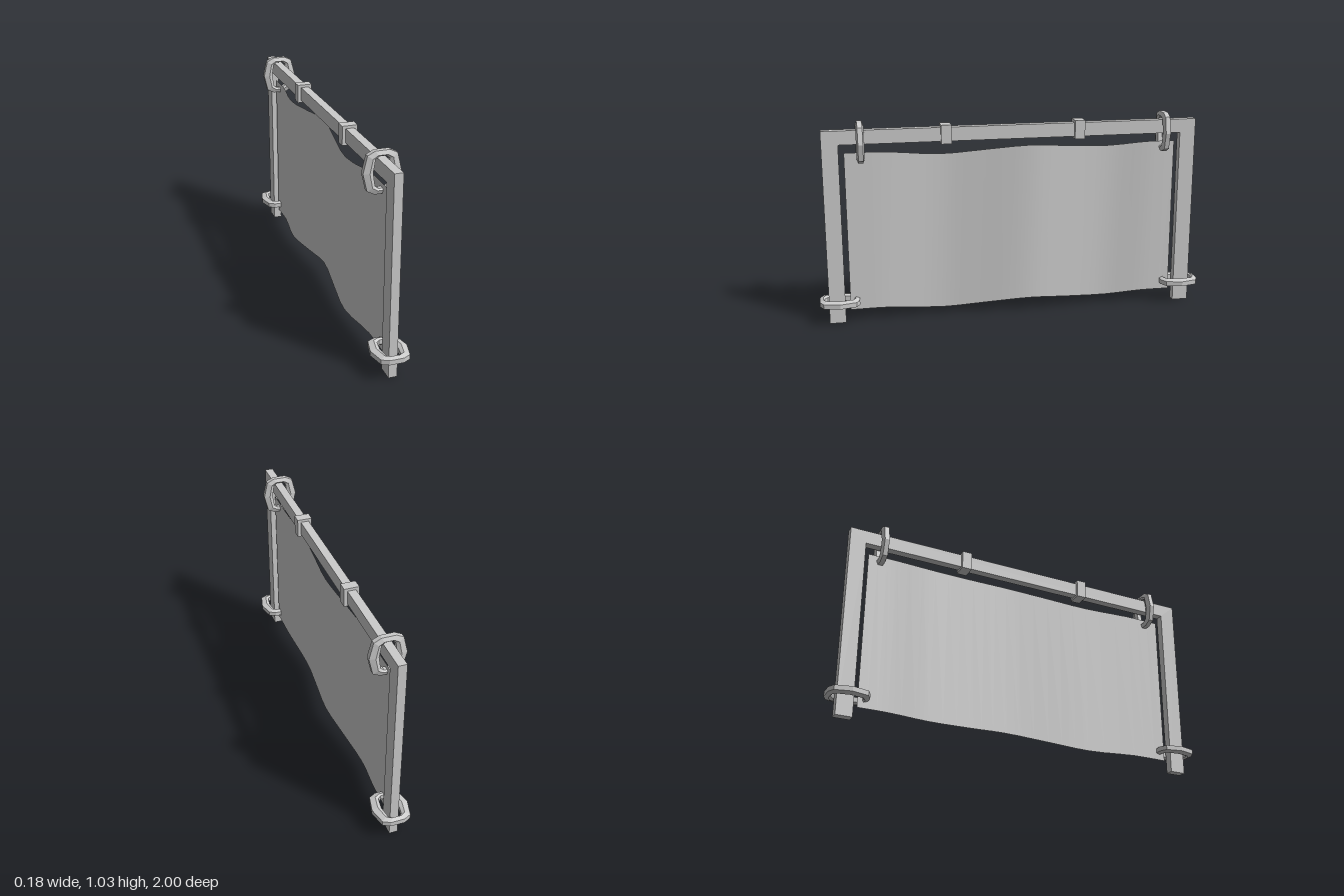
import * as THREE from 'three';

const grey = new THREE.MeshStandardMaterial({ color: 0xcccccc, flatShading: true });
const clothMaterial = new THREE.MeshStandardMaterial({ color: 0xcccccc, side: THREE.DoubleSide });

function box(name, w, h, d, x, y, z) {
  const mesh = new THREE.Mesh(new THREE.BoxGeometry(w, h, d), grey);
  mesh.name = name;
  mesh.position.set(x, y, z);
  return mesh;
}

// Ten-sided oval link lying in the XY plane, with a chamfered six-sided section
function linkGeometry() {
  const outline = [[1, 0], [0.78, 0.82], [0.38, 1], [-0.38, 1], [-0.78, 0.82],
    [-1, 0], [-0.78, -0.82], [-0.38, -1], [0.38, -1], [0.78, -0.82]];
  // Each section corner: half width, half height, depth
  const section = [[0.089, 0.1, -0.012], [0.089, 0.1, 0.012], [0.06, 0.081, 0.02],
    [0.042, 0.074, 0.012], [0.042, 0.074, -0.012], [0.06, 0.081, -0.02]];
  const positions = [], index = [];
  const n = outline.length, m = section.length;
  for (const [u, v] of outline) {
    for (const [w, h, d] of section) positions.push(u * w, v * h, d);
  }
  for (let i = 0; i < n; i++) {
    for (let j = 0; j < m; j++) {
      const a = i * m + j, b = ((i + 1) % n) * m + j;
      const c = ((i + 1) % n) * m + (j + 1) % m, d = i * m + (j + 1) % m;
      index.push(a, b, c, a, c, d);
    }
  }
  const geometry = new THREE.BufferGeometry();
  geometry.setAttribute('position', new THREE.Float32BufferAttribute(positions, 3));
  geometry.setIndex(index);
  geometry.computeVertexNormals();
  return geometry;
}

// Hanging sheet: a plane whose columns follow a gentle wave
function clothGeometry() {
  // Wave knots: sideways offset, lift, z
  const wave = new THREE.CatmullRomCurve3([
    [0, 0, 0.847], [0, 0, 0.66], [-0.02, -0.025, 0.37], [0.002, -0.008, 0.15],
    [0.026, 0.01, -0.08], [0.005, -0.004, -0.28], [-0.017, -0.016, -0.5],
    [0, 0, -0.7], [0, 0, -0.85],
  ].map(p => new THREE.Vector3(...p)));
  const columns = 24;
  const geometry = new THREE.PlaneGeometry(1, 0.815, columns, 1);
  const position = geometry.attributes.position;
  for (let i = 0; i < position.count; i++) {
    const p = wave.getPoint(position.getX(i) + 0.5);
    position.setXYZ(i, p.x, position.getY(i) + 0.4675 + p.y, p.z);
  }
  geometry.computeVertexNormals();
  return geometry;
}

export function createModel() {
  const model = new THREE.Group();
  model.name = 'bannerFrame';

  // Frame: one flush outline of two posts and a top bar
  const frameShape = new THREE.Shape([
    [-0.955, 0], [-0.873, 0], [-0.873, 0.92], [0.873, 0.92],
    [0.873, 0], [0.955, 0], [0.955, 0.99], [-0.955, 0.99],
  ].map(p => new THREE.Vector2(...p)));
  const frameGeometry = new THREE.ExtrudeGeometry(frameShape, { depth: 0.042, bevelEnabled: false });
  frameGeometry.translate(0, 0, -0.021).rotateY(Math.PI / 2);
  const frame = new THREE.Mesh(frameGeometry, grey);
  frame.name = 'frame';
  model.add(frame);

  // Collars on the top bar
  for (const z of [0.345, -0.335]) {
    model.add(box('barCollar', 0.075, 0.095, 0.052, 0, 0.956, z));
  }

  // Hanging links on the bar, and flat links around the post feet
  const link = linkGeometry();
  for (const z of [0.767, -0.787]) {
    const ring = new THREE.Mesh(link, grey);
    ring.name = 'hangingLink';
    ring.position.set(-0.002, 0.928, z);
    model.add(ring);
  }
  for (const z of [0.9, -0.9]) {
    const ring = new THREE.Mesh(link, grey);
    ring.name = 'footLink';
    ring.position.set(0, 0.11, z);
    ring.rotation.x = Math.PI / 2;
    model.add(ring);
  }

  const cloth = new THREE.Mesh(clothGeometry(), clothMaterial);
  cloth.name = 'cloth';
  model.add(cloth);
  return model;
}
